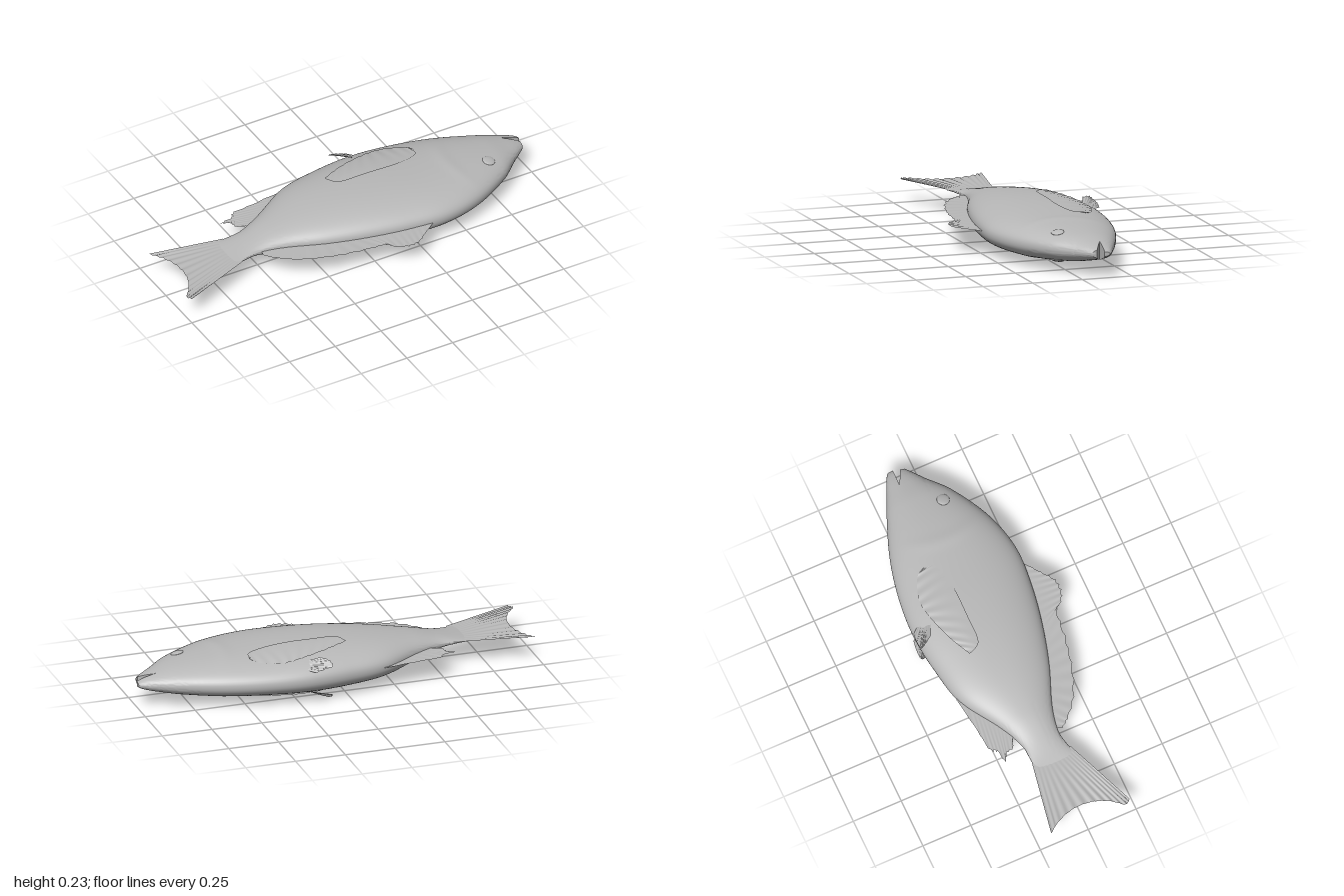
import * as THREE from 'three';
import { toCreasedNormals } from 'three/addons/utils/BufferGeometryUtils.js';

const CY = 0.116; // mid-plane height of the fish, which lies on its side
const MOUTH_X = 0.905, MOUTH_Z = -0.12;

// Body stations: x, belly z, back z, half thickness
const STATIONS = [
  [-0.67, -0.12, 0.095, 0.003], [-0.6, -0.122, 0.07, 0.016], [-0.52, -0.13, 0.06, 0.033],
  [-0.4, -0.185, 0.085, 0.06], [-0.2, -0.305, 0.16, 0.09], [0, -0.35, 0.215, 0.105],
  [0.2, -0.37, 0.25, 0.107], [0.4, -0.355, 0.26, 0.1], [0.6, -0.31, 0.21, 0.09],
  [0.8, -0.235, 0.1, 0.067], [0.9, -0.19, 0.012, 0.046], [0.95, -0.168, -0.028, 0.033],
  [0.985, -0.15, -0.058, 0.02], [0.998, -0.14, -0.075, 0.01],
];

// Smooth interpolation of the stations at any x
function profile(x) {
  const S = STATIONS, last = S.length - 1;
  let i = 0;
  while (i < last - 1 && x > S[i + 1][0]) i++;
  const h = S[i + 1][0] - S[i][0], t = (x - S[i][0]) / h;
  const slope = (k, c) => {
    const a = S[Math.max(k - 1, 0)], b = S[Math.min(k + 1, last)];
    return (b[c] - a[c]) / (b[0] - a[0]);
  };
  const at = (c) => {
    const t2 = t * t, t3 = t2 * t;
    return S[i][c] * (2 * t3 - 3 * t2 + 1) + S[i + 1][c] * (3 * t2 - 2 * t3)
      + h * (slope(i, c) * (t3 - 2 * t2 + t) + slope(i + 1, c) * (t3 - t2));
  };
  const lo = at(1), hi = at(2);
  return { cz: (lo + hi) / 2, hz: (hi - lo) / 2, hy: Math.max(at(3), 0.002) };
}

// Soft raised rim along the rear edge of the gill cover
function gill(x, z) {
  const d = x - (0.55 + 1.3 * (z + 0.03) ** 2);
  const fade = Math.max(0, 1 - ((z + 0.03) / 0.24) ** 2);
  return 1 + 0.035 * fade * Math.exp(-((d / 0.035) ** 2));
}

const POW = 2 / 2.25;
const soften = (v) => Math.sign(v) * Math.abs(v) ** POW;

// Half thickness of the body above the mid-plane at (x, z)
function halfThickness(x, z) {
  const p = profile(x), u = Math.min(1, Math.abs(z - p.cz) / p.hz);
  return p.hy * (1 - u ** (2 / POW)) ** (POW / 2) * gill(x, z);
}

// Closed loft along x; clampZ trims each section to one side of the mouth
function loft(x0, x1, steps, clampZ = (x, z) => z) {
  const SEG = 64, pos = [], idx = [];
  for (let i = 0; i <= steps; i++) {
    const x = x0 + (x1 - x0) * i / steps, p = profile(x);
    for (let j = 0; j < SEG; j++) {
      const a = j / SEG * Math.PI * 2;
      const z = p.cz + p.hz * soften(Math.cos(a));
      pos.push(x, CY + p.hy * soften(Math.sin(a)) * gill(x, z), clampZ(x, z));
    }
  }
  for (let i = 0; i < steps; i++) for (let j = 0; j < SEG; j++) {
    const a = i * SEG + j, b = i * SEG + (j + 1) % SEG;
    idx.push(a, a + SEG, b, b, a + SEG, b + SEG);
  }
  // End caps
  for (const end of [0, 1]) {
    const x = end ? x1 : x0, base = end * steps * SEG, c = pos.length / 3;
    pos.push(x, CY, clampZ(x, profile(x).cz));
    for (let j = 0; j < SEG; j++) {
      const a = base + j, b = base + (j + 1) % SEG;
      if (end) idx.push(c, b, a); else idx.push(c, a, b);
    }
  }
  const g = new THREE.BufferGeometry();
  g.setAttribute('position', new THREE.Float32BufferAttribute(pos, 3));
  g.setIndex(idx);
  g.computeVertexNormals();
  return toCreasedNormals(g, 0.9);
}

// Fin membrane between two curves of [x, z] or [x, z, y] points, ribbed by its rays
function fin(rootPts, edgePts, { rays = 12, rib = 0.002, jag = 0, y = null } = {}) {
  const curve = (pts) => new THREE.CatmullRomCurve3(
    pts.map(([x, z, h = 0.12]) => new THREE.Vector3(x, h, z)), false, 'centripetal');
  const root = curve(rootPts), edge = curve(edgePts);
  const NU = rays * 6, NV = 8, pos = [], idx = [];
  for (let i = 0; i <= NU; i++) {
    const u = i / NU, a = root.getPoint(u), b = edge.getPoint(u);
    b.lerp(a, jag * Math.abs(Math.sin(u * rays * Math.PI)));
    for (let j = 0; j <= NV; j++) {
      const v = j / NV, p = a.clone().lerp(b, v);
      if (y) p.y = y(p.x, p.z);
      p.y += rib * v * Math.cos(u * rays * Math.PI * 2);
      pos.push(p.x, p.y, p.z);
    }
  }
  for (let i = 0; i < NU; i++) for (let j = 0; j < NV; j++) {
    const a = i * (NV + 1) + j, b = a + NV + 1;
    idx.push(a, a + 1, b, b, a + 1, b + 1);
  }
  const g = new THREE.BufferGeometry();
  g.setAttribute('position', new THREE.Float32BufferAttribute(pos, 3));
  g.setIndex(idx);
  g.computeVertexNormals();
  return g;
}

export function createModel() {
  const fish = new THREE.Group();
  fish.name = 'fish';
  const grey = new THREE.MeshStandardMaterial({ color: 0xb8b8b8, side: THREE.DoubleSide });
  grey.name = 'plain grey';
  const add = (name, geometry) => {
    const m = new THREE.Mesh(geometry, grey);
    m.name = name;
    fish.add(m);
    return m;
  };

  // Body and the two jaws, parted by the mouth opening
  add('body', loft(-0.67, MOUTH_X, 110));
  const open = (x) => Math.max(0, x - MOUTH_X);
  add('upperJaw', loft(MOUTH_X, 0.983, 10, (x, z) => Math.max(z, MOUTH_Z + 0.5 * open(x))));
  add('lowerJaw', loft(MOUTH_X, 0.996, 10, (x, z) => Math.min(z, MOUTH_Z + 0.07 * open(x))));

  // Tail, dorsal and anal fins on the mid-plane
  add('tailFin', fin(
    [[-0.62, -0.122], [-0.65, -0.05], [-0.65, 0.03], [-0.62, 0.08]],
    [[-0.985, -0.187], [-0.945, -0.13], [-0.915, -0.04], [-0.92, 0.06], [-0.955, 0.14],
      [-0.998, 0.2], [-0.98, 0.225]], { rays: 12, rib: 0.003 }));
  add('dorsalFin', fin(
    [[-0.5, 0.04], [-0.35, 0.08], [-0.2, 0.13], [-0.05, 0.18], [0.1, 0.21], [0.22, 0.23], [0.33, 0.24]],
    [[-0.52, 0.085], [-0.49, 0.125], [-0.4, 0.2], [-0.24, 0.262], [-0.1, 0.29], [0.04, 0.312],
      [0.065, 0.345], [0.12, 0.37], [0.175, 0.365], [0.24, 0.318], [0.325, 0.253]],
    { rays: 20, rib: 0.001, jag: 0.06 }));
  add('analFin', fin(
    [[-0.18, -0.29], [-0.28, -0.24], [-0.38, -0.18], [-0.46, -0.14]],
    [[-0.18, -0.318], [-0.37, -0.292], [-0.49, -0.275], [-0.505, -0.25], [-0.57, -0.235],
      [-0.53, -0.21], [-0.52, -0.175], [-0.475, -0.158]],
    { rays: 12, rib: 0.001, jag: 0.06 }));

  // Paired parts on both flanks
  for (const [label, s] of [['upper', 1], ['lower', -1]]) {
    // Pectoral fin hugs the flank and lifts off towards its tip
    add(label + 'PectoralFin', fin(
      [[0.46, -0.19], [0.45, -0.15], [0.35, -0.115], [0.14, -0.11], [0, -0.12], [-0.03, -0.17]],
      [[0.46, -0.2], [0.44, -0.235], [0.32, -0.283], [0.22, -0.272], [0.08, -0.23], [-0.03, -0.18]],
      { rays: 11, rib: s * 0.0015,
        y: (x, z) => CY + s * Math.min(0.1145, halfThickness(x, z) + 0.004 + 0.016 * (0.46 - x)) }));
    // Pelvic fin fans out from the belly
    const side = ([x, z, h]) => [x, z, CY + s * h];
    add(label + 'PelvicFin', fin(
      [[0.235, -0.315, 0.055], [0.23, -0.295, 0.064], [0.21, -0.275, 0.074]].map(side),
      [[0.19, -0.372, 0.05], [0.14, -0.377, 0.064], [0.1, -0.372, 0.074], [0.105, -0.35, 0.092],
        [0.135, -0.305, 0.097]].map(side), { rays: 8 }));
    // Eye: flattened dome tilted to the cheek
    const ex = 0.745, ez = 0.035, e = 0.01;
    const dx = (halfThickness(ex + e, ez) - halfThickness(ex - e, ez)) / (2 * e);
    const dz = (halfThickness(ex, ez + e) - halfThickness(ex, ez - e)) / (2 * e);
    const eye = add(label + 'Eye', new THREE.SphereGeometry(0.031, 32, 16));
    eye.scale.y = 0.25;
    eye.position.set(ex, CY + s * halfThickness(ex, ez), ez);
    eye.quaternion.setFromUnitVectors(
      new THREE.Vector3(0, 1, 0), new THREE.Vector3(-dx, s, -dz).normalize());
  }
  return fish;
}
